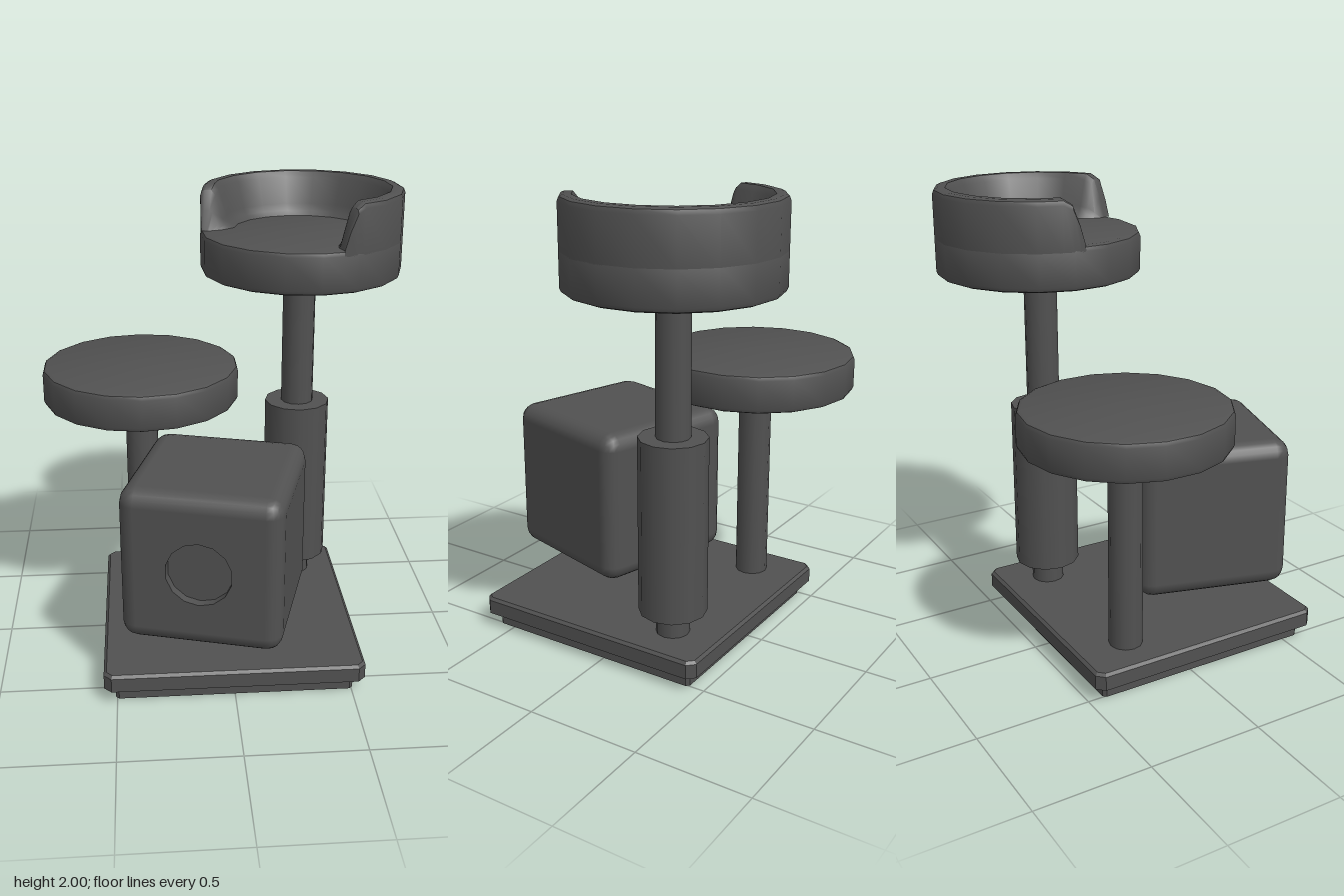
import * as THREE from 'three';
import { toCreasedNormals } from 'three/addons/utils/BufferGeometryUtils.js';
import { RoundedBoxGeometry } from 'three/addons/geometries/RoundedBoxGeometry.js';

const material = new THREE.MeshStandardMaterial({ color: 0x515151 });
const insideMaterial = new THREE.MeshStandardMaterial({ color: 0x515151, side: THREE.DoubleSide });
const CREASE = 0.7;

function add(parent, name, geometry, x = 0, y = 0, z = 0, mat = material) {
  const mesh = new THREE.Mesh(geometry, mat);
  mesh.name = name;
  mesh.position.set(x, y, z);
  parent.add(mesh);
}

// Square slab with clipped corners and a bevelled top edge, standing on y = 0
function slab(size, height, clip, bevel) {
  const s = size / 2 - bevel, c = s - clip;
  const outline = [[s, c], [c, s], [-c, s], [-s, c], [-s, -c], [-c, -s], [c, -s], [s, -c]];
  const shape = new THREE.Shape(outline.map(([x, y]) => new THREE.Vector2(x, y)));
  const g = new THREE.ExtrudeGeometry(shape, {
    depth: height - 2 * bevel, bevelEnabled: true, bevelSegments: 1, bevelSize: bevel, bevelThickness: bevel,
  });
  g.translate(0, 0, bevel).rotateX(-Math.PI / 2);
  // flatten the lower bevel so only the top edge is eased
  const p = g.attributes.position;
  for (let i = 0; i < p.count; i++) if (p.getY(i) < bevel + 1e-4) p.setY(i, 0);
  g.computeVertexNormals();
  return g;
}

// Upright post between two heights
const post = (radius, y0, y1) =>
  new THREE.CylinderGeometry(radius, radius, y1 - y0, 12).translate(0, (y0 + y1) / 2, 0);

// Round padded disc with softened edges
function disc(radius, y0, y1, b) {
  const profile = [
    [0, y0], [radius - b, y0], [radius - b * 0.3, y0 + b * 0.3], [radius, y0 + b],
    [radius, y1 - b], [radius - b * 0.3, y1 - b * 0.3], [radius - b, y1], [0, y1],
  ].map(([r, y]) => new THREE.Vector2(r, y));
  return toCreasedNormals(new THREE.LatheGeometry(profile, 18), CREASE);
}

// Raised bolster around the bed: a section swept along an arc, sinking at both ends
function bolster(R, y0, y1) {
  const h = y1 - y0;
  const section = [
    [0, -0.025], [0, h - 0.025], [0.007, h - 0.007], [0.022, h], [0.055, h],
    [0.075, h - 0.025], [0.11, 0.05], [0.125, 0.02], [0.15, -0.005],
  ];
  // [angle in degrees, height factor, width factor]
  const stations = [[78, 0, 0.45], [75, 0.45, 0.7], [71, 0.88, 0.88], [66, 1, 1]];
  for (let a = 50; a >= -150; a -= 20) stations.push([a, 1, 1]);
  stations.push([-164, 1, 1], [-169, 0.88, 0.88], [-173, 0.45, 0.7], [-176, 0, 0.45]);

  const pos = [], index = [], n = section.length;
  stations.forEach(([deg, f, w], i) => {
    const a = THREE.MathUtils.degToRad(deg);
    // keep the outer face on the 18-sided outline
    const fromEdgeMiddle = ((deg + 370) % 20) - 10;
    const facet = Math.cos(Math.PI / 18) / Math.cos(THREE.MathUtils.degToRad(fromEdgeMiddle));
    section.forEach(([inset, y], j) => {
      // narrow the ends from the inside, keeping the outer face flush
      const r = (R - inset * w) * facet;
      pos.push(r * Math.cos(a), y0 + (y > 0 ? y * f : y), r * Math.sin(a));
      if (i && j) {
        const d = i * n + j, b = d - 1, c = d - n, e = c - 1;
        index.push(e, b, c, b, d, c);
      }
    });
  });
  const g = new THREE.BufferGeometry();
  g.setAttribute('position', new THREE.Float32BufferAttribute(pos, 3));
  g.setIndex(index);
  return toCreasedNormals(g, CREASE);
}

// Rounded cube with its flat front panel left out
function openCube(size, radius) {
  const src = new RoundedBoxGeometry(size, size, size, 2, radius);
  const p = src.attributes.position, nrm = src.attributes.normal;
  const pos = [], normals = [];
  for (let i = 0; i < p.count; i += 3) {
    if ([0, 1, 2].every((k) => p.getZ(i + k) > size / 2 - 1e-4)) continue;
    for (let k = i; k < i + 3; k++) {
      pos.push(p.getX(k), p.getY(k), p.getZ(k));
      normals.push(nrm.getX(k), nrm.getY(k), nrm.getZ(k));
    }
  }
  const g = new THREE.BufferGeometry();
  g.setAttribute('position', new THREE.Float32BufferAttribute(pos, 3));
  g.setAttribute('normal', new THREE.Float32BufferAttribute(normals, 3));
  return g;
}

// Cube house with a shallow round doorway
function house() {
  const group = new THREE.Group();
  group.name = 'house';
  const size = 0.683, bevel = 0.07, half = size / 2, flat = half - bevel;
  const sides = 14, r = 0.14, depth = 0.04;
  add(group, 'houseShell', openCube(size, bevel));

  const ring = Array.from({ length: sides }, (_, i) => {
    const a = (i / sides) * Math.PI * 2 + Math.PI / 2;
    return new THREE.Vector2(r * Math.cos(a), r * Math.sin(a));
  });
  const panel = new THREE.Shape([[-1, -1], [1, -1], [1, 1], [-1, 1]]
    .map(([x, y]) => new THREE.Vector2(x * flat, y * flat)));
  panel.holes.push(new THREE.Path(ring));
  add(group, 'houseFront', new THREE.ShapeGeometry(panel), 0, 0, half);

  const wall = new THREE.CylinderGeometry(r, r, depth, sides, 1, true).rotateX(-Math.PI / 2);
  add(group, 'doorwayRim', wall, 0, 0, half - depth / 2, insideMaterial);
  add(group, 'doorwayBack', new THREE.ShapeGeometry(new THREE.Shape(ring)), 0, 0, half - depth);
  return group;
}

export function createModel() {
  const model = new THREE.Group();
  model.name = 'catTree';

  // Stepped base
  add(model, 'baseFoot', slab(1.014, 0.07, 0.012, 0.004), 0, 0, 0.077);
  add(model, 'baseBoard', slab(1.108, 0.075, 0.025, 0.012), 0, 0.065, 0.077);

  // Low round platform at the back
  add(model, 'platformPost', post(0.073, 0.13, 1.07), -0.366, 0, -0.243);
  add(model, 'platform', disc(0.441, 1.052, 1.22, 0.022), -0.364, 0, -0.241);

  // Turned cube house on a short post
  add(model, 'housePost', post(0.073, 0.13, 0.3), -0.064, 0, 0.3);
  const cube = house();
  cube.position.set(-0.06, 0.603, 0.297);
  cube.rotation.y = -0.28;
  model.add(cube);

  // Tall post with a thick scratching sleeve
  add(model, 'bedPost', post(0.073, 0.13, 1.65), 0.353, 0, -0.256);
  add(model, 'scratchingSleeve', post(0.147, 0.243, 1.018), 0.353, 0, -0.256);

  // Round bed, slightly turned, with a bolster open at the front
  const bed = new THREE.Group();
  bed.name = 'bed';
  bed.position.set(0.355, 0, -0.258);
  bed.rotation.y = 0.07;
  add(bed, 'bedCushion', disc(0.444, 1.626, 1.81, 0.022));
  add(bed, 'bedBolster', bolster(0.444, 1.81, 2.0));
  model.add(bed);

  return model;
}
